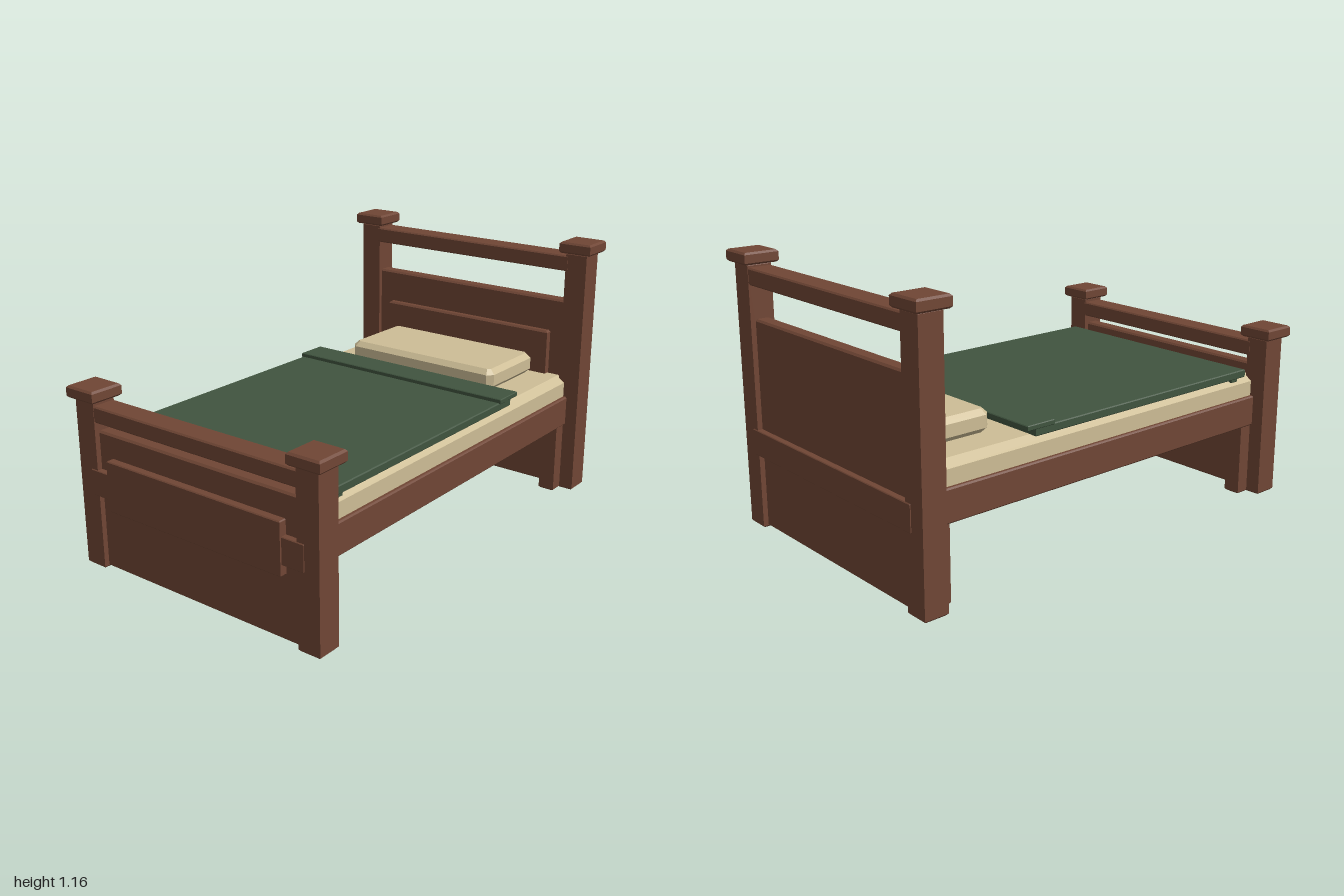
import * as THREE from 'three';

// Box given by its limits, with chamfered edges; cut also chamfers the corners of its outline.
function bevelBox([x0, x1], [y0, y1], [z0, z1], c = 0.006, cut = 0) {
  const w = (x1 - x0) / 2 - c, h = (z1 - z0) / 2 - c;
  const pts = cut
    ? [[-w + cut, -h], [w - cut, -h], [w, -h + cut], [w, h - cut], [w - cut, h], [-w + cut, h], [-w, h - cut], [-w, -h + cut]]
    : [[-w, -h], [w, -h], [w, h], [-w, h]];
  const shape = new THREE.Shape(pts.map(([x, y]) => new THREE.Vector2(x, y)));
  const geo = new THREE.ExtrudeGeometry(shape, {
    depth: y1 - y0 - 2 * c, bevelEnabled: true, bevelSize: c, bevelThickness: c, bevelSegments: 1,
  });
  geo.rotateX(-Math.PI / 2);
  geo.translate((x0 + x1) / 2, y0 + c, (z0 + z1) / 2);
  return geo;
}

export function createModel() {
  const model = new THREE.Group();
  model.name = 'bed';
  const material = (name, color) => {
    const m = new THREE.MeshStandardMaterial({ color });
    m.name = name;
    return m;
  };
  const wood = material('brown wood', 0x704635);
  const linen = material('cream linen', 0xcdbd96);
  const wool = material('green wool', 0x40543f);

  const add = (name, geo, mat) => {
    const mesh = new THREE.Mesh(geo, mat);
    mesh.name = name;
    model.add(mesh);
  };
  const box = (name, x, y, z, mat, c, cut) => add(name, bevelBox(x, y, z, c, cut), mat);

  // Headboard and footboard: posts, caps, inner legs, rail, recessed panel
  const ends = [
    { name: 'headboard', s: -1, post: 1.115, cap: 1.163, rail: [1.03, 1.10], panel: 0.89 },
    { name: 'footboard', s: 1, post: 0.715, cap: 0.763, rail: [0.628, 0.696], panel: 0.59 },
  ];
  for (const e of ends) {
    const z = (a, b) => (e.s > 0 ? [a, b] : [-b, -a]);
    for (const side of [-1, 1]) {
      const x = (a, b) => (side > 0 ? [a, b] : [-b, -a]);
      box(e.name + 'Post', x(0.51, 0.61), [0, e.post], z(0.872, 0.977), wood, 0.008);
      box(e.name + 'Cap', x(0.485, 0.635), [e.cap - 0.05, e.cap], z(0.85, 1), wood, 0.008);
      box(e.name + 'InnerLeg', x(0.47, 0.545), [0, 0.34], z(0.812, 0.9), wood, 0.007);
    }
    box(e.name + 'Rail', [-0.52, 0.52], e.rail, z(0.87, 0.975), wood);
    box(e.name + 'Panel', [-0.52, 0.52], [0.005, e.panel], z(0.892, 0.955), wood, 0.008);
    box(e.name + 'CrossBar', [-0.543, 0.543], [0.32, 0.43], z(0.9, 0.981), wood, 0.003);
  }

  // Raised plates on the panels
  box('footboardPlate', [-0.443, 0.443], [0.275, 0.49], [0.94, 0.988], wood, 0.004);
  box('headboardPlate', [-0.443, 0.443], [0.45, 0.743], [-0.9, -0.862], wood, 0.008);

  // Bed base with its side rails
  box('bedBase', [-0.555, 0.555], [0.315, 0.45], [-0.9, 0.9], wood);

  // Mattress with chamfered long edges
  const section = new THREE.Shape([
    [-0.538, 0.44], [0.538, 0.44], [0.538, 0.515], [0.5, 0.542], [-0.5, 0.542], [-0.538, 0.515],
  ].map(([x, y]) => new THREE.Vector2(x, y)));
  const mattress = new THREE.ExtrudeGeometry(section, { depth: 1.77, bevelEnabled: false });
  mattress.translate(0, 0, -0.885);
  add('mattress', mattress, linen);

  // Bedding
  box('pillow', [-0.386, 0.383], [0.542, 0.637], [-0.853, -0.485], linen, 0.022, 0.012);
  box('blanket', [-0.535, 0.535], [0.54, 0.575], [-0.395, 0.83], wool, 0.004);
  box('blanketHem', [-0.53, 0.53], [0.526, 0.545], [0.747, 0.785], wool, 0.003);
  box('blanketFold', [-0.541, 0.541], [0.571, 0.592], [-0.44, -0.305], wool, 0.003);

  return model;
}
